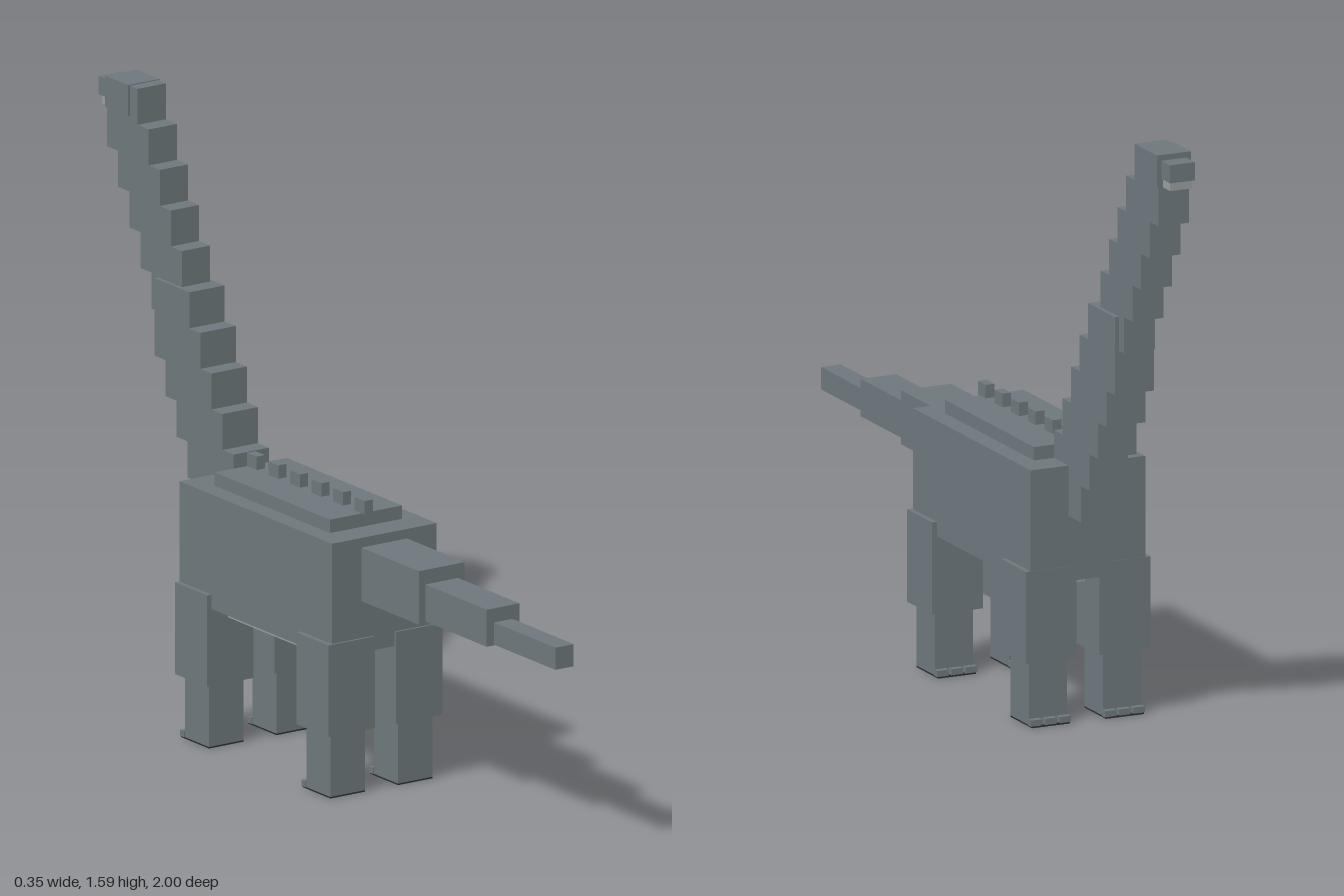
import * as THREE from 'three';

export function createModel() {
  const model = new THREE.Group();
  const hide = new THREE.MeshStandardMaterial({ color: 0x6d787c });
  hide.name = 'slate hide';
  const pale = new THREE.MeshStandardMaterial({ color: 0x989e9f });
  pale.name = 'pale underside';
  const dark = new THREE.MeshStandardMaterial({ color: 0x2b2e30 });
  dark.name = 'dark sole';

  // Box given by its limits on each axis
  function box(name, material, [x0, x1], [y0, y1], [z0, z1], parent = model) {
    const mesh = new THREE.Mesh(new THREE.BoxGeometry(x1 - x0, y1 - y0, z1 - z0), material);
    mesh.position.set((x0 + x1) / 2, (y0 + y1) / 2, (z0 + z1) / 2);
    mesh.name = name;
    parent.add(mesh);
    return mesh;
  }
  const wide = (w) => [-w, w];

  // Trunk with a pale belly and a raised back
  box('body', hide, wide(0.16), [0.37, 0.67], [-0.462, 0.207]);
  box('belly', pale, wide(0.11), [0.34, 0.37], [-0.38, 0.125]);
  box('backPlate', hide, wide(0.11), [0.67, 0.705], [-0.38, 0.127]);
  for (let i = 0; i < 6; i++) {
    const z = 0.117 - i * 0.095;
    box('backSpine', hide, wide(0.0125), [0.705, 0.74], [z - 0.022, z + 0.022]);
  }

  // Tapering tail
  box('tailBase', hide, wide(0.07), [0.505, 0.645], [0.207, 0.46]);
  box('tailMiddle', hide, wide(0.05), [0.51, 0.607], [0.46, 0.73]);
  box('tailTip', hide, wide(0.028), [0.512, 0.57], [0.73, 1]);

  // Stepped neck, thicker in its lower half
  for (let i = 0; i < 10; i++) {
    const lower = i < 5;
    const z = -0.378 - i * 0.0486;
    const top = 0.742 + i * 0.0942;
    box(lower ? 'lowerNeck' : 'upperNeck', hide, wide(lower ? 0.054 : 0.043),
      [top - (lower ? 0.203 : 0.183), top], [z - (lower ? 0.154 : 0.134), z]);
  }

  // Head and muzzle
  box('head', hide, wide(0.048), [1.51, 1.592], [-0.951, -0.85]);
  box('snout', hide, wide(0.035), [1.53, 1.577], [-1, -0.95]);
  box('lowerJaw', pale, wide(0.03), [1.507, 1.53], [-0.99, -0.95]);

  // Four legs with toes and soles
  for (const side of [-1, 1]) {
    for (const [pair, z] of [['front', -0.392], ['hind', 0.142]]) {
      const leg = new THREE.Group();
      leg.name = pair + (side > 0 ? 'LeftLeg' : 'RightLeg');
      leg.position.set(side * 0.103, 0, z);
      box('thigh', hide, wide(0.071), [0.168, 0.408], wide(0.071), leg);
      box('shin', hide, wide(0.053), [0.004, 0.168], wide(0.053), leg);
      for (const x of [-0.04, 0, 0.04]) {
        box('toe', hide, [x - 0.016, x + 0.016], [0.004, 0.02], [-0.07, -0.053], leg);
      }
      box('sole', dark, wide(0.053), [0, 0.004], [-0.07, 0.053], leg);
      model.add(leg);
    }
  }
  return model;
}
